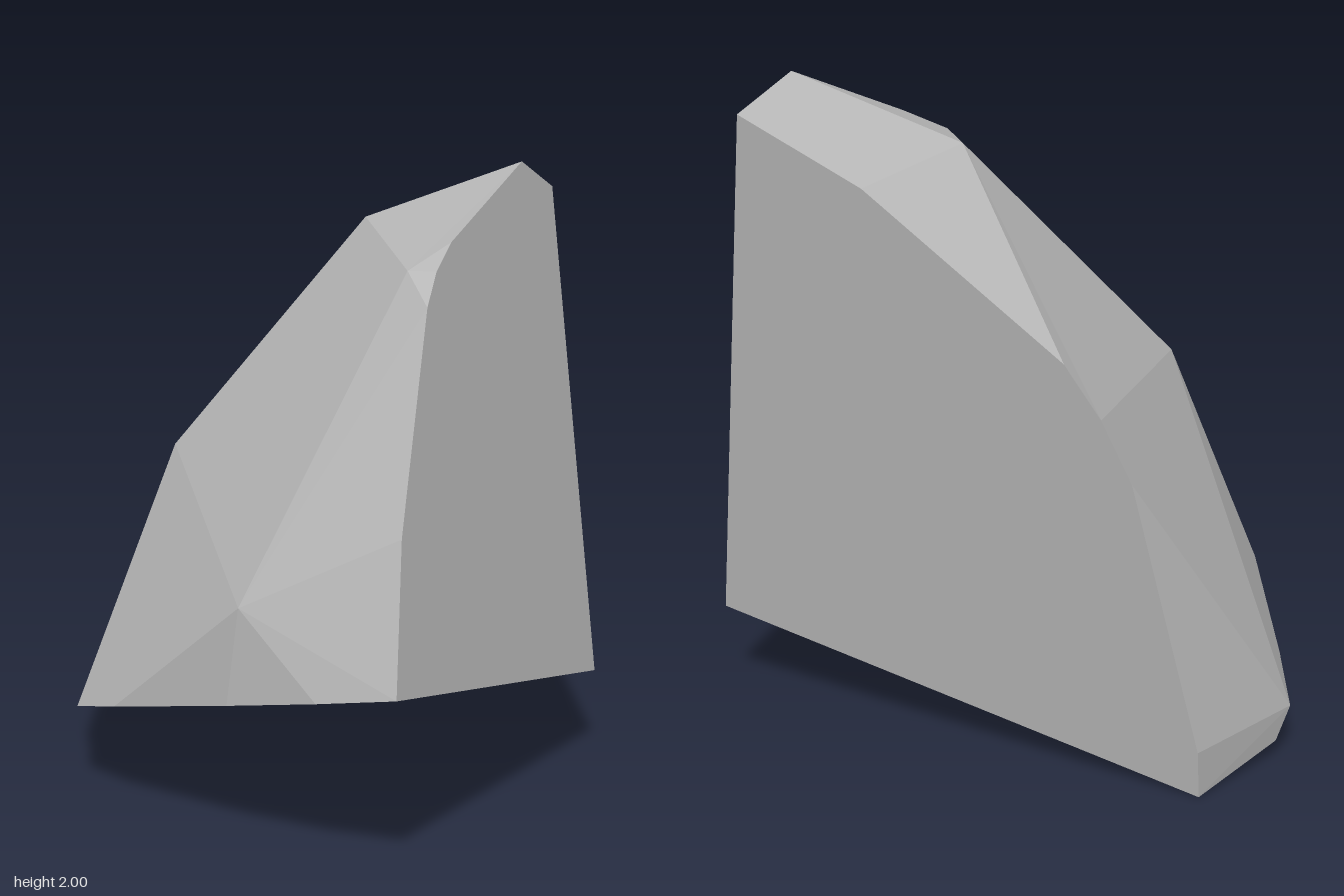
import * as THREE from 'three';

// The three flat cuts, each written as one coordinate in terms of the other two
const onSide = (y, z) => [0.91 - 0.1566 * (y - 0.27) - 0.1173 * (z + 0.64), y, z];
const onBase = (x, z) => [x, 0.27 + 0.13 * (x - 0.91) + 0.19 * (z + 0.64), z];
const onBack = (x, y) => [x, y, -0.64 + 0.1819 * (x - 0.91) - 0.1145 * (y - 0.27)];

const P = {
  corner: [0.91, 0.27, -0.64],
  // free corners of the faceted shell
  crown: [0.10, 1.81, -0.57], toe: [-0.92, 0.147, -0.52], cheek: [-0.385, 1.08, -0.02],
  brow: [0.49, 1.69, 0.27], chin: [0.13, 0.73, 0.78],
  // rim of the side cut, front to back
  s0: [0.675, 0.55, 0.99], s1: onSide(0.97, 0.80), s2: onSide(1.59, 0.38), s3: onSide(1.69, 0.27),
  s4: onSide(1.77, 0.12), s5: onSide(2.0, -0.60), s6: [0.68, 1.91, -0.87],
  // rim of the base cut, front to back
  b1: onBase(0.42, 0.935), b2: onBase(0.10, 0.80), b3: onBase(-0.38, 0.525), b4: onBase(-0.58, 0.36),
  b5: onBase(-0.79, -0.13), b6: onBase(-0.89, -0.57), b7: [-0.747, 0, -0.91],
  // rim of the back cut, bottom to top
  k1: onBack(-0.747, 0.147), k2: onBack(-0.56, 0.96), k3: onBack(-0.47, 1.14),
  k4: onBack(-0.36, 1.29), k5: onBack(0.27, 1.73),
};

const shellFaces = [
  'crown cheek brow', 'cheek chin brow', 'brow s4 s5 crown', 'brow s3 s4', 'brow s2 s3',
  'chin s1 s2 brow', 'chin b1 s0 s1', 'chin b2 b1', 'chin b3 b2', 'cheek b4 b3 chin',
  'cheek toe b5 b4', 'toe b6 b5', 'toe k1 b7 b6', 'toe k2 k1', 'cheek k3 k2 toe',
  'crown k4 k3 cheek', 'crown k5 k4', 'crown s5 s6 k5',
];
const cuts = {
  sideCut: 'corner s0 s1 s2 s3 s4 s5 s6',
  baseCut: 'corner s0 b1 b2 b3 b4 b5 b6 b7',
  backCut: 'corner s6 k5 k4 k3 k2 k1 b7',
};

// Fan each polygon into triangles, turned to face away from the inside of the stone
function facets(faces) {
  const inside = new THREE.Vector3(0.2, 0.7, -0.3);
  const out = [];
  for (const face of faces) {
    const pts = face.split(' ').map((n) => new THREE.Vector3(...P[n]));
    for (let i = 1; i < pts.length - 1; i++) {
      const tri = [pts[0], pts[i], pts[i + 1]];
      const normal = new THREE.Triangle(...tri).getNormal(new THREE.Vector3());
      if (normal.dot(tri[0].clone().sub(inside)) < 0) tri.reverse();
      tri.forEach((p) => out.push(p.x, p.y, p.z));
    }
  }
  const geometry = new THREE.BufferGeometry();
  geometry.setAttribute('position', new THREE.Float32BufferAttribute(out, 3));
  geometry.computeVertexNormals();
  return geometry;
}

export function createModel() {
  const stone = new THREE.MeshStandardMaterial({ color: 0xb5b5b5 });
  stone.name = 'stone grey';
  const group = new THREE.Group();
  group.name = 'rockFragment';
  const add = (name, faces) => {
    const mesh = new THREE.Mesh(facets(faces), stone);
    mesh.name = name;
    group.add(mesh);
  };
  add('facetedShell', shellFaces);
  for (const [name, face] of Object.entries(cuts)) add(name, [face]);
  return group;
}
